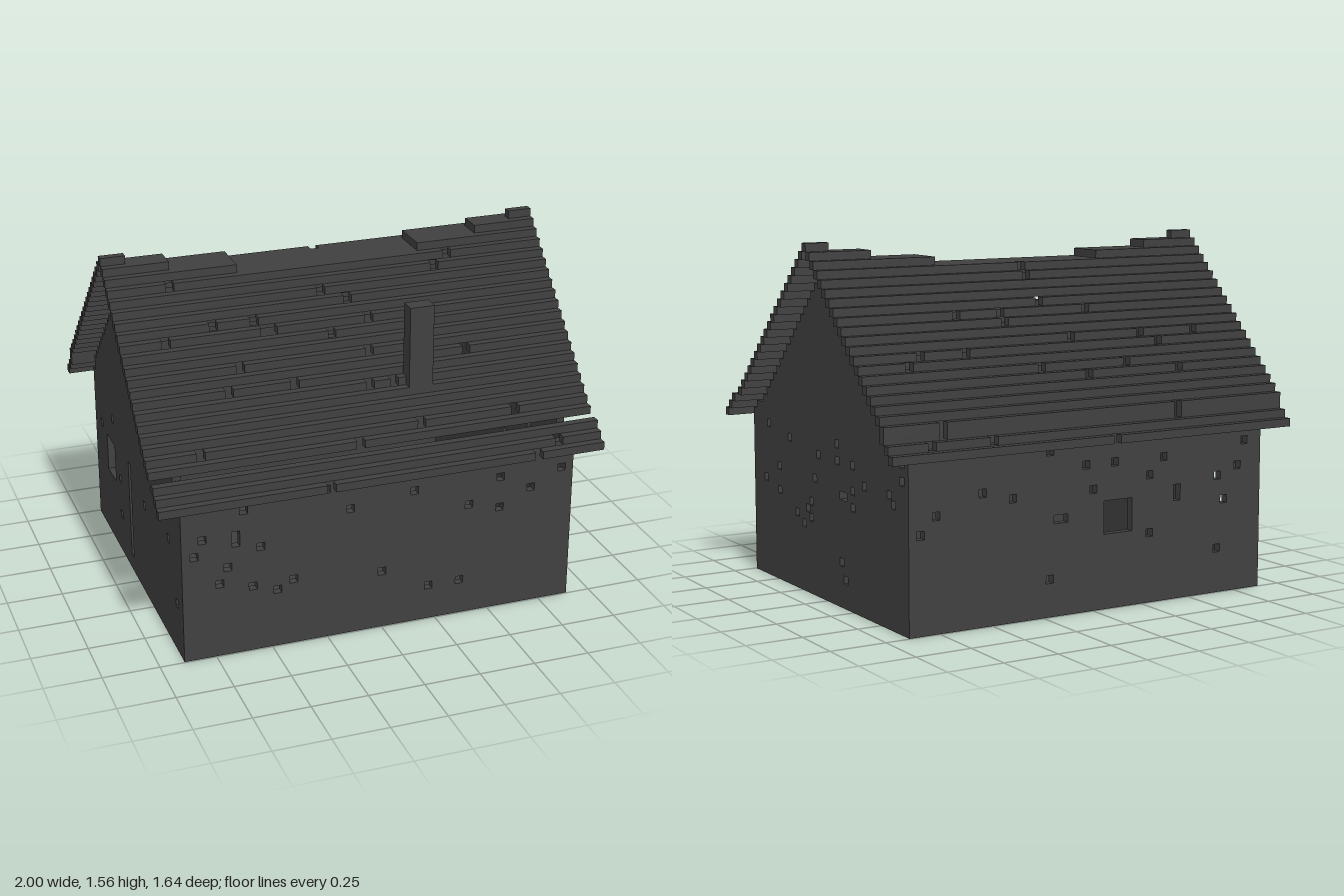
import * as THREE from 'three';
import { mergeGeometries } from 'three/addons/utils/BufferGeometryUtils.js';

// Block grid: 55 wide (i), 43 high (j), 45 deep (k)
const U = 2 / 55;
const X = (i) => (i - 27.5) * U;
const Y = (j) => j * U;
const Z = (k) => (k - 22.5) * U;

// Box covering whole grid cells, from the lower corner with a size in cells
function cells(i, j, k, w, h, d) {
  const g = new THREE.BoxGeometry(w * U, h * U, d * U);
  g.translate(X(i + w / 2), Y(j + h / 2), Z(k + d / 2));
  return g;
}

// Missing blocks: [column, row, width = 1, height = 1]
const frontHoles = [
  [10, 18], [5, 15], [9, 14, 1, 2], [4, 13], [12, 13], [8, 11], [7, 9], [11, 8], [16, 8],
  [14, 7], [27, 7], [33, 4], [37, 4], [23, 16], [31, 17], [42, 17], [42, 13], [46, 15],
  [50, 17], [38, 14], [20, 19],
];
const backHoles = [
  [22, 9, 4, 4], // window
  [48, 13], [50, 11], [42, 15], [33, 19], [31, 11, 2], [27, 14], [24, 17], [28, 17], [19, 15],
  [17, 17], [19, 8], [15, 12, 1, 2], [8, 11], [5, 18], [6, 15], [9, 5], [9, 14], [38, 14], [33, 4],
];
const rightHoles = [
  [38, 19], [32, 18], [24, 17], [19, 19], [19, 17], [15, 17], [3, 19], [3, 17], [35, 14], [39, 12],
  [35, 11], [25, 14], [17, 13, 2], [15, 14], [15, 12], [12, 15], [6, 15], [5, 14], [30, 9], [28, 8],
  [26, 11], [27, 10], [26, 9], [18, 5], [17, 3],
];
const leftHoles = [
  [8, 9, 4, 5], // window
  [19, 2, 1, 13], // door slit
  [5, 14], [14, 10], [14, 5], [26, 12], [37, 13], [11, 17], [40, 6],
];

// Missing roof blocks: [column i, depth k]
const roofHoles = [
  [25, 26], [40, 25], [11, 28], [16, 28], [5, 29], [17, 29], [18, 29], [30, 29], [28, 27], [25, 30],
  [13, 32], [29, 32], [41, 33], [11, 34], [19, 34], [28, 35], [31, 35], [6, 39], [33, 39], [45, 39],
  [25, 40], [49, 43], [46, 44], [20, 44], [7, 24], [42, 24],
  [15, 2], [47, 2], [12, 6], [25, 6], [19, 7], [31, 7], [48, 8], [13, 9], [40, 9], [46, 9], [7, 10],
  [15, 10], [25, 10], [33, 12], [33, 13], [21, 13], [39, 13], [27, 14], [27, 17], [27, 18],
  [25, 0], [41, 1], [49, 1],
];

// Roof row for each depth; the ridge is at k = 21 and k = 41 is an open gap
function roofRow(k) {
  if (k <= 2) return 20 + k;
  if (k <= 21) return 21 + k;
  if (k <= 40) return 63 - k;
  return k === 41 ? -1 : 64 - k;
}

// The ridge sags toward the middle in steps
function ridgeCap(i) {
  const edge = Math.min(i, 54 - i);
  return edge < 3 ? 42 : edge < 8 ? 41 : edge < 16 ? 40 : 39;
}

// One block thick panel with square holes; px maps a grid column to the shape's x
function panel(outline, holes, px) {
  const e = 0.0004;
  const shape = new THREE.Shape(outline.map(([c, r]) => new THREE.Vector2(px(c), Y(r))));
  for (const [c, r, w = 1, h = 1] of holes) {
    const a = Math.min(px(c), px(c + w)) + e;
    const b = Math.max(px(c), px(c + w)) - e;
    const lo = Y(r) + e, hi = Y(r + h) - e;
    shape.holes.push(new THREE.Path([[a, lo], [a, hi], [b, hi], [b, lo]].map((p) => new THREE.Vector2(...p))));
  }
  return new THREE.ExtrudeGeometry(shape, { depth: U, bevelEnabled: false });
}

function longWall(holes, k) {
  const g = panel([[3, 0], [52, 0], [52, 21], [3, 21]], holes, X);
  return g.translate(0, 0, Z(k));
}

// Gable wall with stepped top, one block below the roof
function gableWall(holes, i) {
  const outline = [[42, 0], [3, 0]];
  for (let k = 3; k < 42; k++) {
    const top = k === 41 ? 22 : Math.min(roofRow(k) - 1, 41);
    outline.push([k, top], [k + 1, top]);
  }
  const g = panel(outline, holes, (k) => -Z(k));
  return g.rotateY(Math.PI / 2).translate(X(i), 0, 0);
}

// Roof battens, split where blocks are missing or the ridge drops
function roof() {
  const missing = new Set(roofHoles.map(([i, k]) => i + ',' + k));
  const parts = [];
  for (let k = 0; k < 45; k++) {
    const row = roofRow(k);
    if (row < 0) continue;
    const height = k === 2 ? 2 : 1;
    const level = (i) => (i > 54 || missing.has(i + ',' + k) ? -1 : Math.min(row, ridgeCap(i)));
    let start = 0;
    for (let i = 1; i <= 55; i++) {
      if (level(i) === level(start) && i < 55) continue;
      if (level(start) >= 0) parts.push(cells(start, level(start), k, i - start, height, 1));
      start = i;
    }
  }
  return mergeGeometries(parts);
}

export function createModel() {
  const group = new THREE.Group();
  const stone = new THREE.MeshStandardMaterial({ color: 0x404040 });
  stone.name = 'dark grey';
  const add = (name, geometry) => {
    const mesh = new THREE.Mesh(geometry, stone);
    mesh.name = name;
    group.add(mesh);
  };
  add('frontWall', longWall(frontHoles, 42));
  add('backWall', longWall(backHoles, 2));
  add('gableWallPlusX', gableWall(rightHoles, 51));
  add('gableWallMinusX', gableWall(leftHoles, 3));
  add('floor', cells(4, 0, 3, 47, 1, 39));
  add('roof', roof());
  add('chimney', cells(33, 27, 35, 3, 11, 2));
  return group;
}
